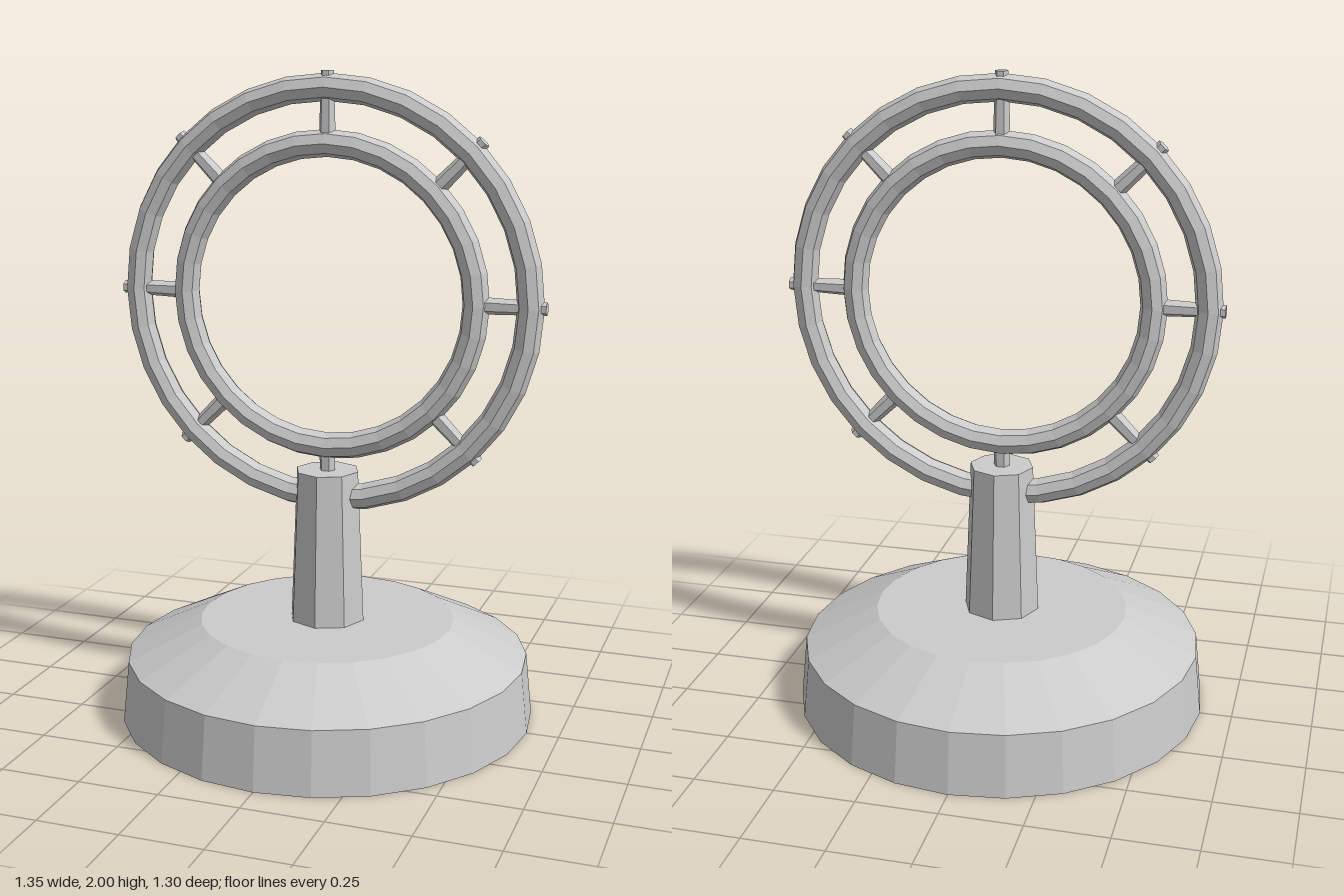
import * as THREE from 'three';

const material = new THREE.MeshStandardMaterial({ color: 0xcccccc, flatShading: true });

function part(name, geometry, parent) {
  const mesh = new THREE.Mesh(geometry, material);
  mesh.name = name;
  parent.add(mesh);
  return mesh;
}

export function createModel() {
  const model = new THREE.Group();
  model.name = 'ringStand';

  // Round base: slightly tapered wall, sloped shoulder, flat top
  const profile = [[0, 0], [0.65, 0], [0.63, 0.195], [0.4, 0.305], [0, 0.305]];
  part('base', new THREE.LatheGeometry(profile.map(([x, y]) => new THREE.Vector2(x, y)), 24), model);

  // Octagonal tapered post
  part('post', new THREE.CylinderGeometry(0.1, 0.12, 0.48, 8), model).position.y = 0.545;

  // Upright double ring
  const wheel = new THREE.Group();
  wheel.name = 'wheel';
  wheel.position.y = 1.325;
  model.add(wheel);
  part('outerRing', new THREE.TorusGeometry(0.627, 0.041, 8, 32), wheel);
  part('innerRing', new THREE.TorusGeometry(0.463, 0.041, 8, 32), wheel);

  // Eight tapered spokes, their tips just poking through the outer ring
  const inner = 0.45, outer = 0.675;
  const spoke = new THREE.CylinderGeometry(0.02, 0.027, outer - inner, 6);
  spoke.rotateY(Math.PI / 2);
  spoke.translate(0, (inner + outer) / 2, 0);
  for (let i = 0; i < 8; i++) {
    part('spoke' + (i + 1), spoke, wheel).rotation.z = (i * Math.PI) / 4;
  }

  return model;
}
